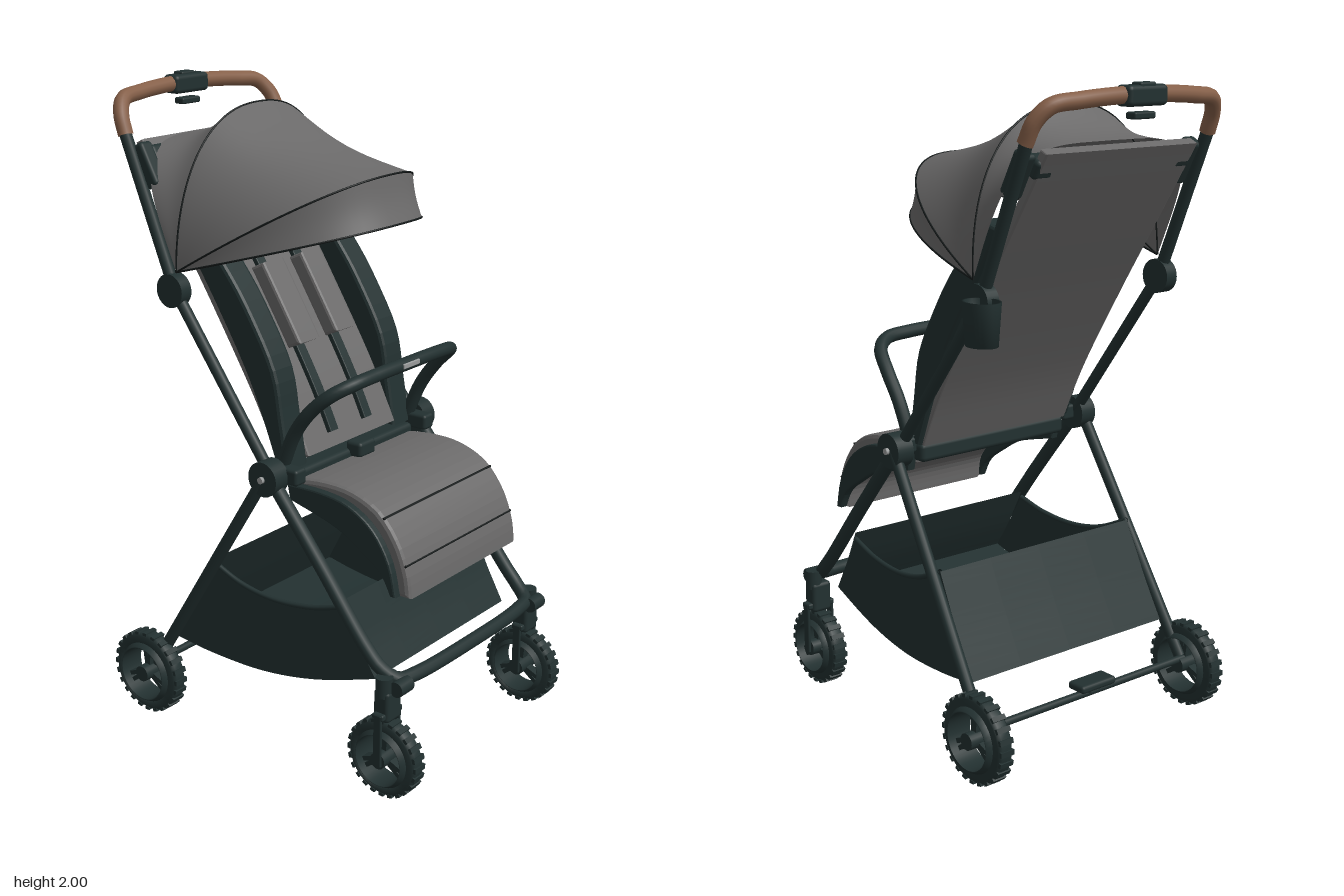
import * as THREE from 'three';
import { mergeGeometries } from 'three/addons/utils/BufferGeometryUtils.js';
import { RoundedBoxGeometry } from 'three/addons/geometries/RoundedBoxGeometry.js';

const paint = (name, color, double) => {
  const m = new THREE.MeshStandardMaterial({ color });
  m.name = name;
  if (double) m.side = THREE.DoubleSide;
  return m;
};

export function createModel() {
  const root = new THREE.Group();
  root.name = 'stroller';
  const dark = paint('dark frame', 0x223030, true);
  const gray = paint('gray fabric', 0x6a6969, true);
  const tan = paint('tan leather', 0x866049);
  const seam = paint('black seam', 0x121717);
  const metal = paint('metal', 0x9a9c9c);
  const V = (p) => new THREE.Vector3(...p);

  const add = (name, geo, mat, pos = [0, 0, 0], parent = root) => {
    const m = new THREE.Mesh(geo, mat);
    m.name = name;
    m.position.set(...pos);
    parent.add(m);
    return m;
  };
  const tube = (name, pts, r, mat, seg = 48) =>
    add(name, new THREE.TubeGeometry(new THREE.CatmullRomCurve3(pts.map(V), false, 'centripetal'), seg, r, 12), mat);
  const rod = (name, a, b, r, mat) => {
    const d = V(b).sub(V(a));
    const m = add(name, new THREE.CylinderGeometry(r, r, d.length(), 16), mat);
    m.position.copy(V(a).addScaledVector(d, 0.5));
    m.quaternion.setFromUnitVectors(new THREE.Vector3(0, 1, 0), d.normalize());
    return m;
  };
  // mirrors the left half of a symmetric path onto the right
  const mirrored = (half) => [...half, ...half.filter((p) => p[2] > 0).reverse().map(([x, y, z]) => [x, y, -z])];
  const smooth = (pts, n = 20) => new THREE.SplineCurve(pts.map((p) => new THREE.Vector2(...p))).getPoints(n);
  const shapeOf = (...edges) => new THREE.Shape(edges.flat());
  // side outline extruded across the width
  const slab = (name, shape, z0, z1, mat, bevel = 0.006) => {
    const g = new THREE.ExtrudeGeometry(shape, {
      depth: z1 - z0 - 2 * bevel, bevelEnabled: true, bevelSize: bevel,
      bevelThickness: bevel, bevelOffset: -bevel, bevelSegments: 2,
    });
    return add(name, g, mat, [0, 0, z0 + bevel]);
  };
  // band along a line, between two offsets in front of it
  const band = (pts, o0, o1) => shapeOf(
    pts.map((p) => new THREE.Vector2(p.x + o0 * 0.9, p.y + o0 * 0.43)),
    pts.map((p) => new THREE.Vector2(p.x + o1 * 0.9, p.y + o1 * 0.43)).reverse());
  // grid surface from a function of row and column
  const grid = (rows, cols, fn) => {
    const pos = [], idx = [];
    for (let i = 0; i <= rows; i++) for (let j = 0; j <= cols; j++) {
      pos.push(...fn(i / rows, j / cols));
      if (i < rows && j < cols) {
        const a = i * (cols + 1) + j, b = a + cols + 1;
        idx.push(a, a + 1, b, b, a + 1, b + 1);
      }
    }
    const g = new THREE.BufferGeometry();
    g.setAttribute('position', new THREE.Float32BufferAttribute(pos, 3));
    g.setIndex(idx);
    g.computeVertexNormals();
    return g;
  };

  // wheels: narrow treaded tyre around a wider rim
  const wheel = (name, x, z, r) => {
    const w = new THREE.Group();
    w.name = name;
    w.position.set(x, r, z);
    root.add(w);
    const ring = (ri, ro, h) => new THREE.LatheGeometry(
      [[ri, -h], [ro - 0.01, -h], [ro, -h * 0.6], [ro, h * 0.6], [ro - 0.01, h], [ri, h], [ri, -h]]
        .map((p) => new THREE.Vector2(...p)), 40).rotateX(Math.PI / 2);
    add('tyre', ring(r * 0.68, r - 0.004, 0.026), dark, [0, 0, 0], w);
    add('rim', ring(r * 0.64, r * 0.74, 0.042), dark, [0, 0, 0], w);
    const lugs = [], spokes = [];
    for (let i = 0; i < 24; i++)
      lugs.push(new THREE.BoxGeometry(0.016, 0.01, 0.048).translate(0, r - 0.005, 0).rotateZ(i * Math.PI / 12));
    for (let i = 0; i < 3; i++) for (const s of [-1, 1])
      spokes.push(new THREE.BoxGeometry(0.014, r * 0.7, 0.03).translate(0, r * 0.35, 0)
        .rotateZ(s * 0.13).rotateZ(i * Math.PI * 2 / 3));
    add('tread', mergeGeometries(lugs), dark, [0, 0, 0], w);
    add('spokes', mergeGeometries(spokes), dark, [0, 0, 0], w);
    add('hub', new THREE.CylinderGeometry(0.026, 0.026, 0.085, 20).rotateX(Math.PI / 2), dark, [0, 0, 0], w);
  };

  for (const s of [1, -1]) {
    const side = s > 0 ? 'left' : 'right';
    wheel(side + 'RearWheel', -0.41, s * 0.435, 0.137);
    wheel(side + 'FrontWheel', 0.497, s * 0.375, 0.125);

    // front fork and swivel
    add(side + 'Fork', new RoundedBoxGeometry(0.055, 0.1, 0.07, 2, 0.012), dark, [0.5, 0.3, s * 0.375]);
    for (const o of [-0.046, 0.046])
      add(side + 'ForkArm', new RoundedBoxGeometry(0.028, 0.17, 0.01, 1, 0.004), dark, [0.5, 0.195, s * 0.375 + o]);
    add(side + 'ForkBridge', new RoundedBoxGeometry(0.04, 0.02, 0.1, 2, 0.006), dark, [0.5, 0.272, s * 0.375]);
    add(side + 'Swivel', new THREE.CylinderGeometry(0.026, 0.026, 0.06, 20), dark, [0.5, 0.36, s * 0.39]);
    add(side + 'SwivelKnob', new THREE.CylinderGeometry(0.024, 0.024, 0.06, 16).rotateX(Math.PI / 2), dark, [0.54, 0.36, s * 0.36]);

    // frame tubes and joints
    rod(side + 'RearLeg', [0.05, 0.9, s * 0.385], [-0.4, 0.16, s * 0.415], 0.019, dark);
    rod(side + 'BackTube', [0.05, 0.9, s * 0.36], [-0.33, 1.4, s * 0.35], 0.018, dark);
    rod(side + 'UpperTube', [-0.33, 1.4, s * 0.35], [-0.517, 1.85, s * 0.348], 0.019, dark);
    add(side + 'LowerJoint', new THREE.CylinderGeometry(0.054, 0.054, 0.058, 28).rotateX(Math.PI / 2), dark, [0.053, 0.895, s * 0.374]);
    add(side + 'JointCap', new THREE.CylinderGeometry(0.01, 0.01, 0.012, 12).rotateX(Math.PI / 2), metal, [0.053, 0.895, s * 0.408]);
    add(side + 'UpperJoint', new THREE.CylinderGeometry(0.052, 0.052, 0.042, 28).rotateX(Math.PI / 2), dark, [-0.333, 1.4, s * 0.351]);
    add(side + 'CanopyClip', new RoundedBoxGeometry(0.05, 0.14, 0.05, 2, 0.012), dark, [-0.45, 1.76, s * 0.32]).rotation.z = 0.5;
    add(side + 'ClipClaw', new RoundedBoxGeometry(0.06, 0.06, 0.07, 2, 0.015), dark, [-0.475, 1.78, s * 0.265]).rotation.z = 0.5;
    add(side + 'BumperMount', new RoundedBoxGeometry(0.1, 0.05, 0.05, 2, 0.01), dark, [0.09, 0.9, s * 0.325]);
  }
  tube('frontFrame', mirrored([[0.05, 0.9, 0.368], [0.25, 0.66, 0.37], [0.42, 0.45, 0.372], [0.47, 0.4, 0.368],
    [0.515, 0.37, 0.345], [0.53, 0.365, 0.28], [0.54, 0.365, 0]]), 0.022, dark, 90);
  rod('rearAxle', [-0.41, 0.155, -0.42], [-0.41, 0.155, 0.42], 0.012, dark);
  add('brakePedal', new RoundedBoxGeometry(0.07, 0.025, 0.14, 2, 0.01), dark, [-0.43, 0.195, 0]);
  rod('brakeStem', [-0.41, 0.155, 0], [-0.42, 0.19, 0], 0.012, dark);

  // push handle
  tube('handleGrip', mirrored([[-0.513, 1.845, 0.35], [-0.54, 1.905, 0.34], [-0.565, 1.945, 0.305],
    [-0.58, 1.957, 0.22], [-0.59, 1.965, 0.1], [-0.593, 1.967, 0]]), 0.024, tan, 80);
  add('handleClamp', new RoundedBoxGeometry(0.062, 0.058, 0.15, 3, 0.014), dark, [-0.593, 1.964, 0]);
  add('foldButton', new RoundedBoxGeometry(0.04, 0.02, 0.06, 2, 0.006), dark, [-0.6, 1.99, 0]);
  add('foldTrigger', new RoundedBoxGeometry(0.04, 0.02, 0.08, 2, 0.006), dark, [-0.59, 1.91, 0]);

  // storage basket, widening to the rear
  const half = (x) => 0.372 - 0.07 * x;
  const sheet = (name, pts) => {
    const c = smooth(pts, 12);
    add(name, grid(12, 4, (u, v) => {
      const p = c[Math.round(u * 12)];
      return [p.x, p.y, (2 * v - 1) * half(p.x)];
    }), dark);
  };
  const floor = [[-0.33, 0.27], [-0.18, 0.25], [0.02, 0.245], [0.22, 0.275], [0.43, 0.34]];
  const rim = [[0.31, 0.54], [0.2, 0.51], [0.06, 0.5], [-0.06, 0.52], [-0.175, 0.57]];
  sheet('basketFloor', floor);
  sheet('basketBack', [[-0.33, 0.27], [-0.25, 0.42], [-0.175, 0.57]]);
  sheet('basketFront', [[0.43, 0.34], [0.37, 0.44], [0.31, 0.56]]);
  for (const s of [1, -1]) {
    const g = new THREE.ShapeGeometry(shapeOf(smooth(floor), smooth(rim)));
    const p = g.attributes.position;
    for (let i = 0; i < p.count; i++) p.setZ(i, s * half(p.getX(i)));
    g.computeVertexNormals();
    add('basketSide', g, dark);
    tube('basketRim', rim.map(([x, y]) => [x, y, s * half(x)]), 0.008, dark);
  }

  // seat cushion with dark side panels
  const seatTop = [[0.07, 0.87], [0.18, 0.885], [0.29, 0.88], [0.39, 0.84], [0.46, 0.76], [0.497, 0.67], [0.508, 0.595]];
  const seatUnder = [[0.455, 0.595], [0.44, 0.67], [0.38, 0.73], [0.26, 0.79], [0.08, 0.83]];
  slab('seatCushion', shapeOf(smooth(seatTop), smooth(seatUnder)), -0.285, 0.285, gray, 0.014);
  const panel = shapeOf(smooth([[0.07, 0.86], [0.2, 0.862], [0.3, 0.845], [0.39, 0.79], [0.45, 0.7], [0.475, 0.6]]),
    smooth([[0.455, 0.6], [0.42, 0.66], [0.35, 0.71], [0.25, 0.765], [0.08, 0.81]]));
  slab('leftSeatPanel', panel, 0.28, 0.31, dark);
  slab('rightSeatPanel', panel, -0.31, -0.28, dark);
  for (const [x, y] of [[0.408, 0.822], [0.487, 0.693]])
    rod('seatSeam', [x, y, -0.28], [x, y, 0.28], 0.004, seam);
  add('seatJoin', new RoundedBoxGeometry(0.07, 0.06, 0.58, 2, 0.015), dark, [0.065, 0.87, 0]);
  add('crotchBuckle', new RoundedBoxGeometry(0.06, 0.05, 0.08, 2, 0.012), dark, [0.11, 0.9, 0]);

  // backrest, bolsters and harness
  const backLine = smooth([[0.035, 0.9], [-0.06, 1.09], [-0.22, 1.35], [-0.37, 1.58], [-0.525, 1.82]], 40);
  const between = (lo, hi) => backLine.filter((p) => p.y >= lo && p.y <= hi);
  slab('backrest', band(backLine, -0.01, 0.02), -0.29, 0.29, gray, 0.005);
  slab('backCushion', band(between(0.9, 1.62), 0.015, 0.05), -0.22, 0.22, gray, 0.008);
  const wing = shapeOf(smooth([[0.075, 0.9], [0.05, 1.05], [0.02, 1.2], [-0.07, 1.36], [-0.15, 1.47], [-0.28, 1.62]]),
    smooth([[-0.36, 1.6], [-0.2, 1.36], [-0.07, 1.14], [0.03, 0.9]]));
  for (const s of [1, -1]) {
    slab('bolster', wing, s * 0.2625 - 0.0475, s * 0.2625 + 0.0475, dark, 0.012);
    slab('harnessStrap', band(between(0.93, 1.6), 0.045, 0.066), s * 0.085 - 0.019, s * 0.085 + 0.019, dark, 0.003);
    slab('shoulderPad', band(between(1.17, 1.43), 0.06, 0.115), s * 0.09 - 0.05, s * 0.09 + 0.05, gray, 0.009);
  }

  // canopy: fabric panels between arched ribs that fan from a hinge; each rib is [dx, dy, squareness]
  const H = [-0.31, 1.46];
  const arch = ([dx, dy, p], t, sag = 0) => {
    const sin = Math.sin(t * Math.PI), c = Math.cos(t * Math.PI);
    const k = Math.max(sin, 0) ** p * (1 - sag);
    return [H[0] + dx * k, H[1] + dy * k, 0.363 * Math.sign(c) * Math.abs(c) ** (p - 0.05) * (1 - sag * 0.5 * sin)];
  };
  const ribs = [[-0.165, 0.375, 0.5], [0.02, 0.47, 0.9], [0.52, 0.3, 0.9], [0.56, 0.16, 0.9]];
  const sags = [0.05, 0.06, 0.01];
  for (let i = 0; i < 3; i++)
    add(['canopyRear', 'canopyTop', 'canopyVisor'][i], grid(10, 40, (u, t) =>
      arch(ribs[i].map((a, k) => a + (ribs[i + 1][k] - a) * u), t, sags[i] * Math.sin(u * Math.PI))), gray);
  for (const d of ribs.slice(1))
    tube('canopySeam', Array.from({ length: 41 }, (_, i) => arch(d, i / 40)), 0.003, seam, 80);

  // bumper bar
  tube('bumperBar', mirrored([[0.06, 0.92, 0.315], [0.11, 1.03, 0.318], [0.17, 1.11, 0.315], [0.23, 1.165, 0.295],
    [0.265, 1.19, 0.245], [0.275, 1.198, 0.15], [0.278, 1.2, 0]]), 0.021, dark, 80);
  add('bumperTag', new RoundedBoxGeometry(0.008, 0.016, 0.08, 1, 0.003), metal, [0.298, 1.203, 0]);

  // cup holder on the right joint
  const cup = [[0, -0.06], [0.053, -0.06], [0.063, 0.065], [0.055, 0.065], [0.046, -0.05], [0, -0.05]];
  add('cupHolder', new THREE.LatheGeometry(cup.map((p) => new THREE.Vector2(...p)), 28).scale(1, 1, 0.8), dark, [-0.392, 1.35, -0.4]);
  return root;
}
